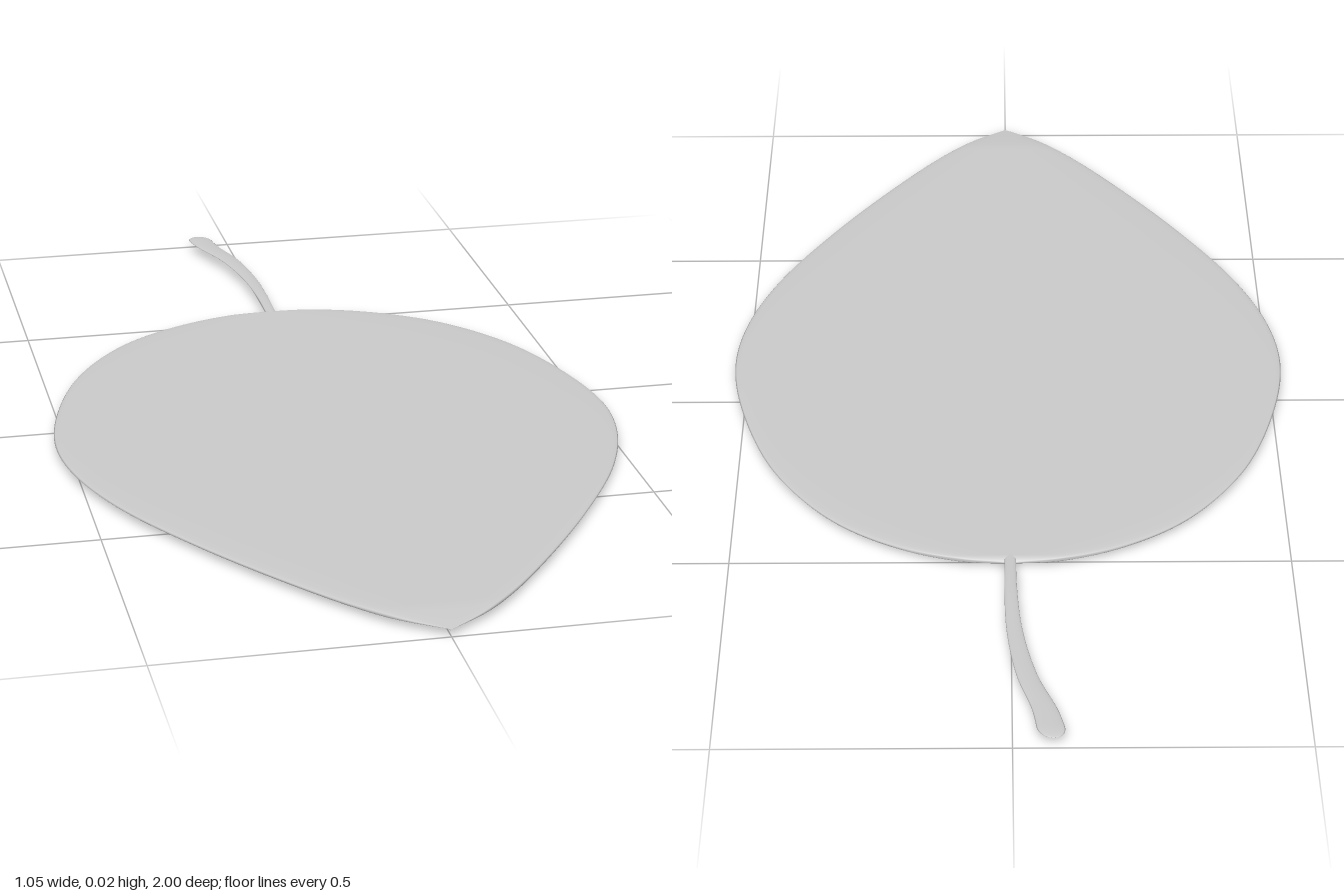
import * as THREE from 'three';

const material = new THREE.MeshStandardMaterial({ color: 0xcccccc });

// Skins a row of closed rings (each an array of Vector3), running towards +z.
function loft(rings) {
  const n = rings[0].length;
  const geometry = new THREE.BufferGeometry().setFromPoints(rings.flat());
  const index = [];
  for (let i = 0; i < rings.length - 1; i++) {
    for (let j = 0; j < n; j++) {
      const a = i * n + j, b = i * n + (j + 1) % n;
      index.push(a, b, a + n, b, b + n, a + n);
    }
  }
  geometry.setIndex(index);
  geometry.computeVertexNormals();
  return geometry;
}

// Flattened oval ring; a power below 1 gives flatter faces and a tighter rim.
function ring(x, y, z, halfWidth, halfHeight, sides, power = 1) {
  return Array.from({ length: sides }, (_, j) => {
    const a = (j / sides) * Math.PI * 2, s = Math.sin(a);
    return new THREE.Vector3(
      x + halfWidth * Math.cos(a),
      y + halfHeight * Math.sign(s) * Math.abs(s) ** power,
      z);
  });
}

const spline = (points) => new THREE.CatmullRomCurve3(points.map((p) => new THREE.Vector3(...p)));

// Half outline of the blade: half width, 0, z
const outline = spline([
  [0.001, 0, -0.52], [0.09, 0, -0.511], [0.2, 0, -0.475], [0.32, 0, -0.395], [0.43, 0, -0.25],
  [0.5, 0, -0.06], [0.525, 0, 0.1], [0.51, 0, 0.24], [0.455, 0, 0.4], [0.345, 0, 0.595],
  [0.21, 0, 0.79], [0.13, 0, 0.89], [0.07, 0, 0.95], [0.001, 0, 1],
]);
const outlinePoints = outline.getSpacedPoints(120);

// Half width of the blade at a given z
function widthAt(z) {
  const i = outlinePoints.findIndex((p) => p.z >= z);
  if (i < 1) return 0;
  const a = outlinePoints[i - 1], b = outlinePoints[i];
  return THREE.MathUtils.lerp(a.x, b.x, (z - a.z) / (b.z - a.z));
}

// Height of the blade's underside
const bladeY = 0.0145, bladeHalf = 0.007;
function undersideY(x, z) {
  const w = Math.max(widthAt(z), 0.001);
  const s = Math.sqrt(Math.max(0, 1 - (x / w) ** 2));
  return bladeY - bladeHalf * Math.min(1, w / 0.1) * Math.sqrt(s);
}

export function createModel() {
  const group = new THREE.Group();
  const add = (name, geometry, parent = group) => {
    const mesh = new THREE.Mesh(geometry, material);
    mesh.name = name;
    parent.add(mesh);
  };

  // Thin blade with a soft rim
  add('blade', loft(outlinePoints.map((p) =>
    ring(0, bladeY, p.z, p.x, bladeHalf * Math.min(1, p.x / 0.1), 64, 0.5))));

  // Midrib along the underside, tapering to the tip
  const midrib = [];
  for (let i = 0; i <= 40; i++) {
    const t = i / 40, z = -0.52 + 1.515 * t;
    const end = Math.min(1, (1 - t) * 8 + 0.05, t * 20 + 0.3);
    midrib.push(ring(0, 0.009, z, (0.011 - 0.006 * t) * end, 0.009 * end * (1 - 0.4 * t), 10));
  }
  add('midrib', loft(midrib));

  // Side veins, leaving the midrib sideways and bending towards the tip
  const veins = new THREE.Group();
  veins.name = 'sideVeins';
  group.add(veins);
  for (let k = 0; k < 9; k++) {
    const z0 = -0.43 + k * 0.158;
    const path = [];
    for (let x = 0; x < 0.55; x += 0.02) {
      const z = z0 + 0.2 * x + 1.0 * x * x;
      if (x > widthAt(z) * 0.95) break;
      path.push([x, undersideY(x, z), z]);
    }
    if (path.length < 2) continue;
    for (const side of [-1, 1]) {
      const curve = spline(path.map(([x, y, z]) => [x * side, y, z]));
      add('sideVein', new THREE.TubeGeometry(curve, 28, 0.0022, 6), veins);
    }
  }

  // Slender curved stem, widening to a rounded end
  const stemPath = spline([
    [-0.068, 0.0225, -1], [-0.055, 0.0225, -0.93], [-0.026, 0.0225, -0.84],
    [-0.006, 0.022, -0.72], [0, 0.0215, -0.6], [0, 0.0185, -0.5],
  ]);
  const stem = [];
  for (let i = 0; i <= 48; i++) {
    const t = (i / 48) ** 1.5;
    const p = stemPath.getPointAt(t);
    const round = Math.sqrt(1 - (1 - Math.min(1, t / 0.06)) ** 2) + 0.01;
    const halfWidth = (0.01 + 0.015 * (1 - t) ** 1.6) * Math.min(1, round);
    stem.push(ring(p.x, p.y, p.z, halfWidth, 0.003 * Math.min(1, round), 16));
  }
  add('stem', loft(stem));

  return group;
}
